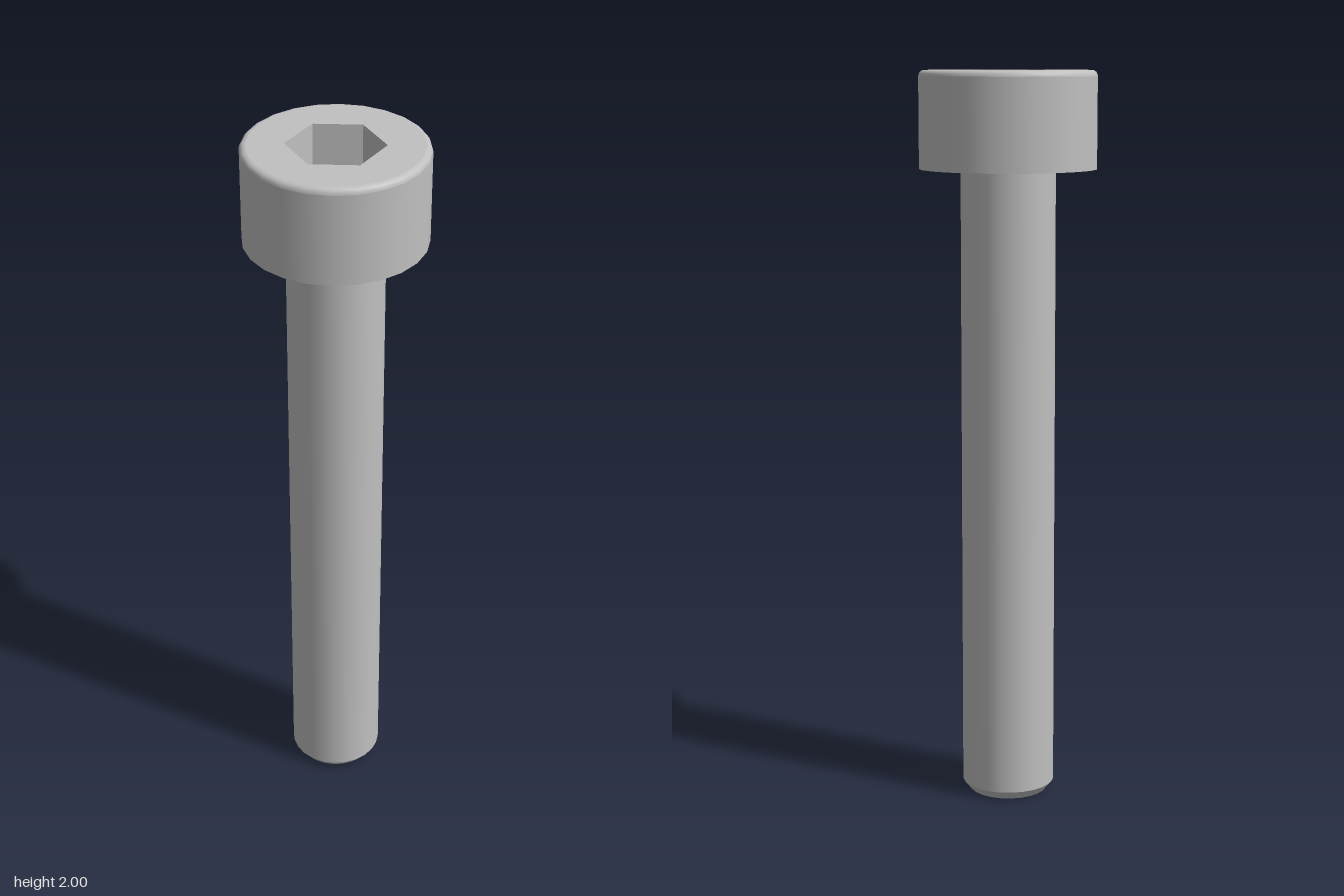
import * as THREE from 'three';
import { mergeVertices } from 'three/addons/utils/BufferGeometryUtils.js';

const SIDES = 24;
const HEAD_R = 0.239, HEAD_Y = 1.74, TOP = 2, FILLET = 0.016;
const SHAFT_R = 0.128, TIP_R = 0.108, CHAMFER = 0.025;
const HEX_R = 0.127, SOCKET_Y = 1.86, SOCKET_TIP = 1.81;

export function createModel() {
  const steel = new THREE.MeshStandardMaterial({ color: 0xc0c0c0 });
  steel.name = 'steel';
  const model = new THREE.Group();
  model.name = 'socketHeadBolt';

  const add = (name, geometry) => {
    const mesh = new THREE.Mesh(geometry, steel);
    mesh.name = name;
    model.add(mesh);
  };
  // Profiles run upward for outside faces and downward for inside faces
  const lathe = (points, sides = SIDES) =>
    new THREE.LatheGeometry(points.map(([r, y]) => new THREE.Vector2(r, y)), sides);
  const ring = (radius, sides) => Array.from({ length: sides }, (_, i) => {
    const a = (i / sides) * Math.PI * 2;
    return new THREE.Vector2(Math.sin(a) * radius, Math.cos(a) * radius);
  });

  // Shaft with a chamfered tip
  add('tipFace', lathe([[0, 0], [TIP_R, 0]]));
  add('tipChamfer', lathe([[TIP_R, 0], [SHAFT_R, CHAMFER]]));
  add('shaft', lathe([[SHAFT_R, CHAMFER], [SHAFT_R, HEAD_Y]]));

  // Head with a rounded upper rim
  add('headUnderside', lathe([[SHAFT_R, HEAD_Y], [HEAD_R, HEAD_Y]]));
  add('headSide', lathe([[HEAD_R, HEAD_Y], [HEAD_R, TOP - FILLET]]));
  const rim = [];
  for (let i = 0; i <= 4; i++) {
    const a = (i / 4) * Math.PI / 2;
    rim.push([HEAD_R - FILLET + FILLET * Math.cos(a), TOP - FILLET + FILLET * Math.sin(a)]);
  }
  add('headRim', lathe(rim));

  // Top face with a hexagonal opening
  const face = new THREE.Shape(ring(HEAD_R - FILLET, SIDES));
  face.holes.push(new THREE.Path(ring(HEX_R, 6)));
  add('headTop', new THREE.ShapeGeometry(face).rotateX(-Math.PI / 2).translate(0, TOP, 0));

  // Flat socket walls
  const walls = lathe([[HEX_R, TOP], [HEX_R, SOCKET_Y]], 6).toNonIndexed();
  walls.computeVertexNormals();
  add('socketWalls', walls);

  // Smoothly dished socket floor
  let floor = lathe([[HEX_R, SOCKET_Y], [0, SOCKET_TIP]], 6);
  floor.deleteAttribute('normal');
  floor.deleteAttribute('uv');
  floor = mergeVertices(floor, 1e-4);
  floor.computeVertexNormals();
  add('socketFloor', floor);

  return model;
}
